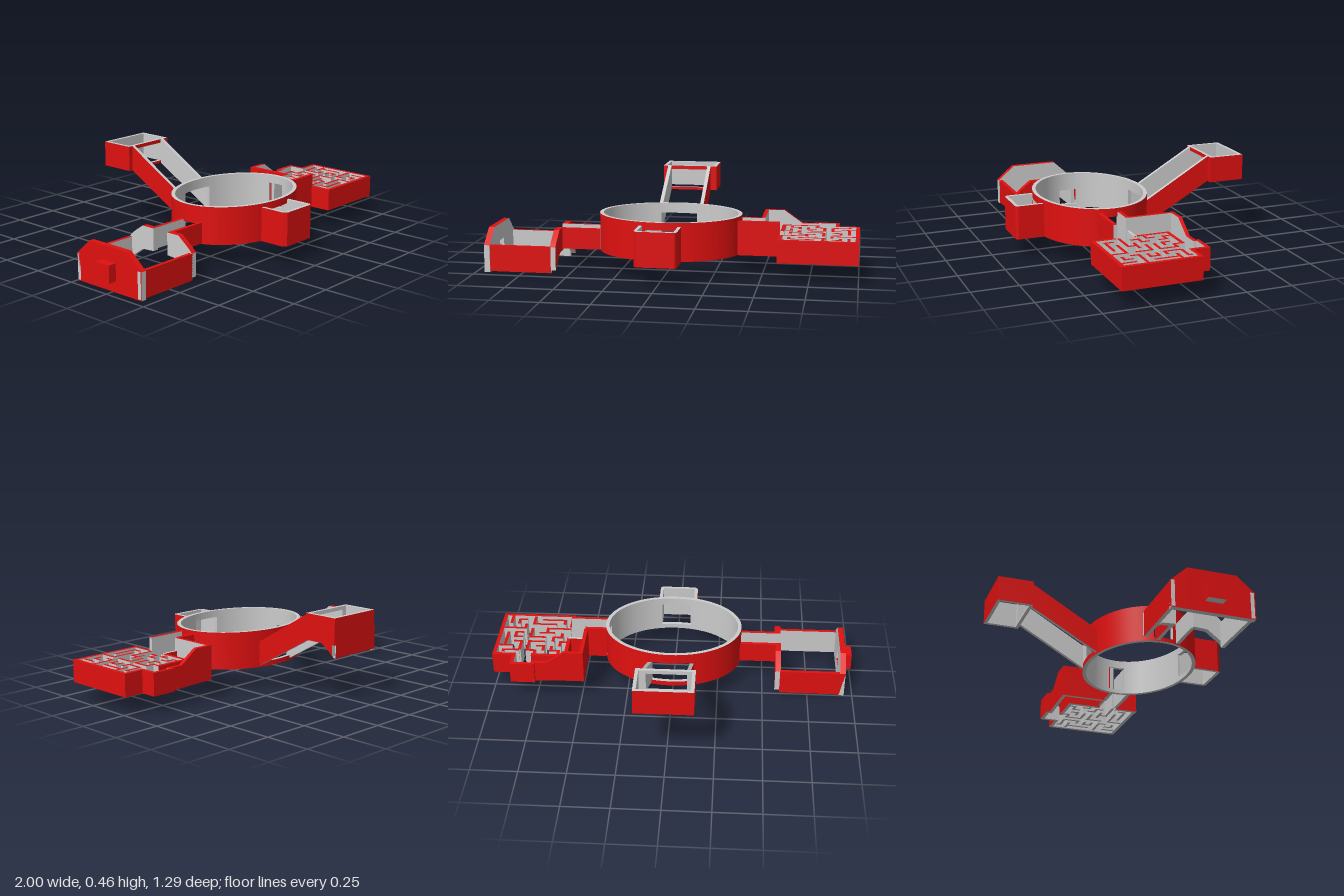
import * as THREE from 'three';
import { toCreasedNormals } from 'three/addons/utils/BufferGeometryUtils.js';

const red = new THREE.MeshStandardMaterial({ color: 0xe01010 });
const grey = new THREE.MeshStandardMaterial({ color: 0xcccccc });

// Upright wall along a path of [x, z, bottom, top]; the outer face lies on the path.
function wall(parent, name, path, { t = 0.02, side = red, top = grey, closed = false, centred = false } = {}) {
  const n = path.length;
  const count = closed ? n : n - 1;
  const normals = [];
  for (let i = 0; i < count; i++) {
    const a = path[i], b = path[(i + 1) % n];
    const d = new THREE.Vector2(b[1] - a[1], a[0] - b[0]);
    normals.push(d.normalize());
  }
  // mitred cross-section at every path point
  const sections = path.map(([x, z, y0, y1], i) => {
    const n1 = normals[i - 1] || (closed ? normals[n - 1] : normals[0]);
    const n2 = normals[i] || n1;
    const m = n1.clone().add(n2).divideScalar(1 + n1.dot(n2));
    const at = (s, y) => [x + m.x * s, y, z + m.y * s];
    const o = centred ? t / 2 : 0;
    return { ob: at(o, y0), ot: at(o, y1), ib: at(o - t, y0), it: at(o - t, y1) };
  });
  const faces = new Map([[red, []], [grey, []]]);
  const quad = (mat, a, b, c, d) => faces.get(mat).push(...a, ...b, ...c, ...a, ...c, ...d);
  for (let i = 0; i < count; i++) {
    const p = sections[i], q = sections[(i + 1) % n];
    quad(side, p.ob, p.ot, q.ot, q.ob);
    quad(grey, p.ib, q.ib, q.it, p.it);
    quad(top, p.ot, p.it, q.it, q.ot);
    quad(grey, p.ob, q.ob, q.ib, p.ib);
  }
  if (!closed) {
    const p = sections[0], q = sections[n - 1];
    quad(grey, p.ob, p.ib, p.it, p.ot);
    quad(grey, q.ob, q.ot, q.it, q.ib);
  }
  const group = new THREE.Group();
  group.name = name;
  for (const [mat, verts] of faces) {
    if (!verts.length) continue;
    const g = new THREE.BufferGeometry();
    g.setAttribute('position', new THREE.Float32BufferAttribute(verts, 3));
    const mesh = new THREE.Mesh(toCreasedNormals(g, 0.5), mat);
    mesh.name = name + (mat === red ? 'Outside' : 'Inside');
    group.add(mesh);
  }
  parent.add(group);
}

// Gives every [x, z] of a path the same bottom and top
const level = (pts, y0, y1) => pts.map(([x, z]) => [x, z, y0, y1]);

// Two parallel walls running along x
function corridor(parent, name, x0, x1, z0, z1, y0, y1) {
  wall(parent, name + 'Back', level([[x0, z0], [x1, z0]], y0, y1), { top: red });
  wall(parent, name + 'Front', level([[x1, z1], [x0, z1]], y0, y1), { top: red });
}

export function createModel() {
  const model = new THREE.Group();
  model.name = 'roomComplex';

  // Central oval hall with four doorways
  const hall = new THREE.Group();
  hall.name = 'ovalHall';
  model.add(hall);
  const arc = (a0, a1, y0, y1) => {
    const steps = Math.max(6, Math.ceil((a1 - a0) * 18));
    return Array.from({ length: steps + 1 }, (_, i) => {
      const a = a0 + ((a1 - a0) * i) / steps;
      return [0.005 + 0.38 * Math.cos(a), 0.2 + 0.3 * Math.sin(a), y0, y1];
    });
  };
  const doors = [ // half angle, sill, lintel: left side, front, right side, back
    [0.17, 0.125, 0.26], [0.23, 0.13, 0.265], [0.18, 0.125, 0.21], [0.28, 0.13, 0.25],
  ];
  doors.forEach(([half, sill, lintel], i) => {
    const a = (i * Math.PI) / 2;
    const next = a + Math.PI / 2 - doors[(i + 1) % 4][0];
    wall(hall, 'hallWall', arc(a + half, next, 0.103, 0.305));
    wall(hall, 'doorSill', arc(a - half, a + half, 0.103, sill));
    wall(hall, 'doorLintel', arc(a - half, a + half, lintel, 0.305));
  });

  // Small front porch
  wall(model, 'frontPorch', level(
    [[0.105, 0.485], [0.105, 0.63], [0.095, 0.643], [-0.1, 0.643], [-0.115, 0.625], [-0.115, 0.485]], 0.103, 0.285), { t: 0.018 });

  // Sloping passage up to the raised back room
  const lowZ = -0.075, highZ = -0.45;
  const low = [0.107, 0.24], high = [0.32, 0.46];
  wall(model, 'rampLeftWall', [[0.13, highZ, ...high], [0.13, lowZ, ...low]]);
  wall(model, 'rampRightWall', [[-0.12, lowZ, ...low], [-0.12, highZ, ...high]]);
  wall(model, 'backRoom', level(
    [[0.115, -0.645], [0.165, -0.645], [0.165, highZ], [0.11, highZ]], 0.32, 0.46), { t: 0.018 });
  wall(model, 'backRoom', level(
    [[-0.1, highZ], [-0.145, highZ], [-0.145, -0.645], [0.115, -0.645]], 0.32, 0.46), { t: 0.018 });
  for (const [y0, y1] of [[0.32, 0.335], [0.44, 0.46]]) {
    wall(model, 'backRoomDoorBar', level([[0.11, highZ], [-0.1, highZ]], y0, y1), { t: 0.018 });
  }

  // Lower room on the right side, with gabled end walls
  const room = new THREE.Group();
  room.name = 'lowerRoom';
  model.add(room);
  corridor(room, 'lowerCorridor', -0.585, -0.36, 0.157, 0.293, 0.108, 0.22);
  corridor(room, 'lowerRoomSide', -0.955, -0.595, 0.003, 0.44, 0.005, 0.145);
  const end = { t: 0.03, top: red };
  const endX = -0.955;
  wall(room, 'endWallFront', [
    [endX, 0.445, 0, 0.145], [endX, 0.35, 0, 0.225], [endX, 0.26, 0, 0.225]], end);
  wall(room, 'endWallBack', [
    [endX, 0.19, 0, 0.225], [endX, 0.09, 0, 0.225], [endX, 0.003, 0, 0.145]], end);
  wall(room, 'alcoveSill', level([[endX, 0.26], [endX, 0.19]], 0, 0.075), end);
  wall(room, 'alcoveLintel', level([[endX, 0.26], [endX, 0.19]], 0.135, 0.225), end);
  // closed alcove bulging out of the end wall
  wall(room, 'alcove', level(
    [[-0.95, 0.272], [-1, 0.272], [-1, 0.178], [-0.95, 0.178]], 0.058, 0.15), { top: red });
  for (const [y0, y1] of [[0.058, 0.07], [0.138, 0.15]]) {
    wall(room, 'alcoveCover', level([[-1, 0.27], [-1, 0.18]], y0, y1), { t: 0.05, top: red });
  }
  // inner gable, split by the corridor
  const gx = -0.568;
  wall(room, 'gableBack', [
    [gx, 0.008, 0.02, 0.145], [gx, 0.03, 0.045, 0.17], [gx, 0.1, 0.095, 0.22], [gx, 0.177, 0.1, 0.22]], end);
  wall(room, 'gableFront', [
    [gx, 0.273, 0.1, 0.22], [gx, 0.35, 0.095, 0.22], [gx, 0.415, 0.045, 0.17], [gx, 0.44, 0.02, 0.145]], end);

  // Maze on the left side with its entrance corridor and bypass
  const maze = new THREE.Group();
  maze.name = 'mazeWing';
  model.add(maze);
  const redTop = { top: red };
  wall(maze, 'mazeCorridorBack', level([[0.37, 0.163], [0.5, 0.163]], 0.103, 0.285), redTop);
  wall(maze, 'mazeCorridorInner', level([[0.485, 0.163], [0.6, 0.163]], 0.103, 0.215), { t: 0.015 });
  wall(maze, 'mazeCorridorFront', level([[0.59, 0.285], [0.37, 0.285]], 0.103, 0.285), redTop);
  wall(maze, 'bypassWall', [
    [0.485, 0.165, 0.1, 0.285], [0.485, -0.085, 0.1, 0.285], [0.59, -0.085, 0.1, 0.285],
    [0.69, -0.085, 0.097, 0.215], [0.755, -0.085, 0.095, 0.215], [0.755, -0.103, 0.095, 0.215],
    [0.89, -0.103, 0.095, 0.215], [0.89, -0.01, 0.095, 0.215]], redTop);
  wall(maze, 'mazeOuterWall', level(
    [[0.87, -0.015], [1, -0.015], [1, 0.405], [0.585, 0.405], [0.585, 0.275]], 0.095, 0.215), redTop);
  wall(maze, 'mazeOuterWall', level(
    [[0.585, 0.175], [0.585, -0.015], [0.785, -0.015]], 0.095, 0.215), redTop);

  // maze partitions on a nine by nine grid
  const partitions = [
    [[1, 0], [1, 1], [2, 1], [2, 2]],
    [[3, 1], [3, 2], [4, 2]],
    [[4, 0], [4, 1], [5, 1], [5, 3], [3, 3]],
    [[6, 1], [8, 1], [8, 0.5]],
    [[6, 1], [6, 3], [7, 3]],
    [[9, 2], [7, 2]],
    [[8, 2], [8, 5]],
    [[0, 3], [1, 3], [1, 2]],
    [[2, 3], [2, 4], [1, 4], [1, 5]],
    [[3, 4], [5, 4], [5, 6]],
    [[6, 4], [7, 4], [7, 5], [6, 5]],
    [[2, 5], [4, 5]],
    [[0, 6], [3, 6], [3, 5]],
    [[9, 6], [6, 6], [6, 7]],
    [[1, 7], [1, 8], [4, 8]],
    [[2, 7], [5, 7], [5, 9]],
    [[7, 7], [7, 8], [6, 8]],
    [[8, 7], [8, 9]],
  ];
  for (const p of partitions) {
    const pts = p.map(([u, v]) => [0.595 + u * 0.0439, -0.005 + v * 0.0444]);
    wall(maze, 'mazePartition', level(pts, 0.1, 0.213), { t: 0.016, side: grey, top: red, centred: true });
  }
  return model;
}
